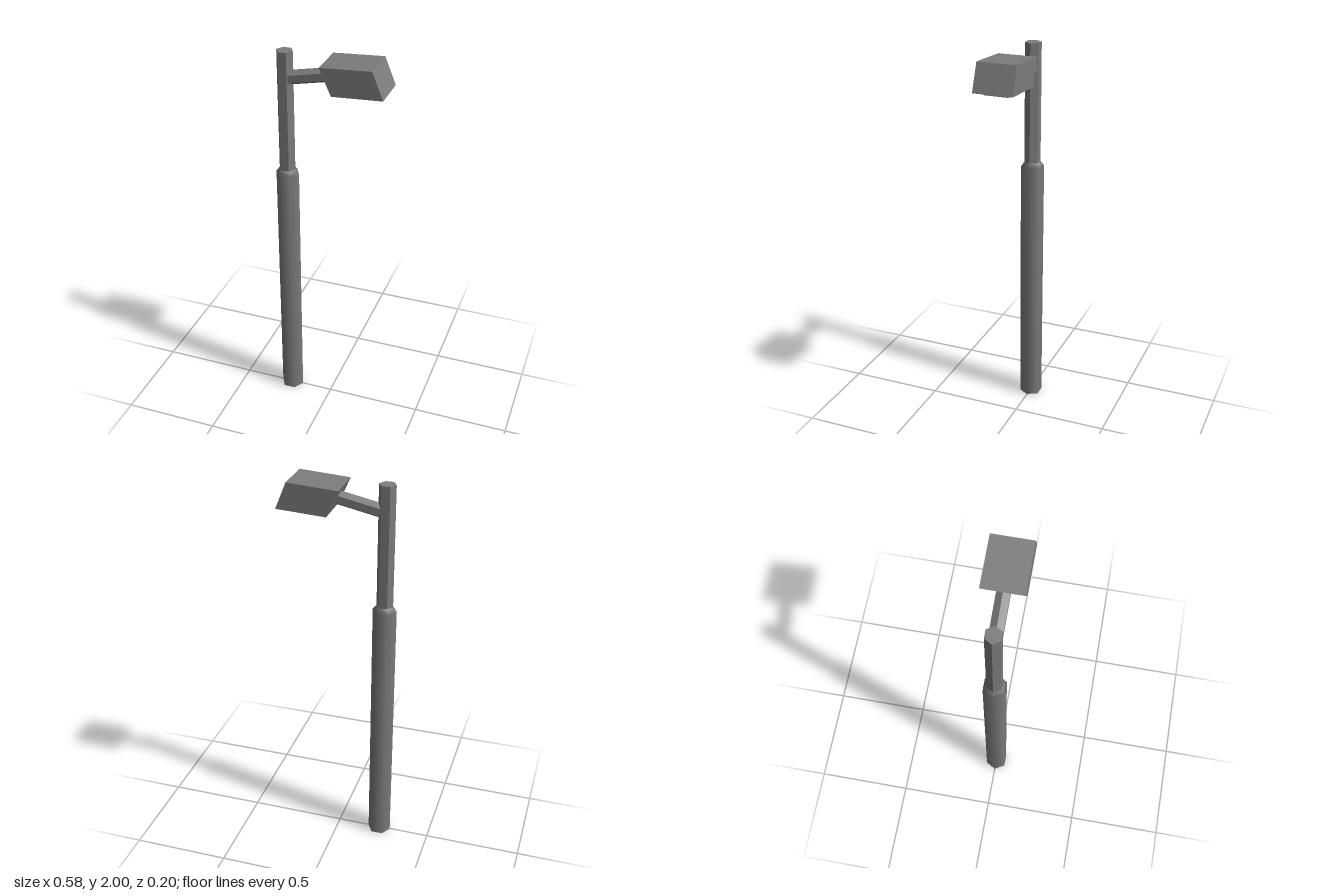
import * as THREE from 'three';

const POLE_X = -0.228;

export function createModel() {
  const model = new THREE.Group();
  model.name = 'streetLamp';

  const metal = new THREE.MeshStandardMaterial({ color: 0x7c7c7c });
  metal.name = 'grey metal';
  const dark = new THREE.MeshStandardMaterial({ color: 0x3a3a3a });
  dark.name = 'dark underside';

  const add = (name, geometry, material, x = 0, y = 0, z = 0) => {
    const mesh = new THREE.Mesh(geometry, material);
    mesh.name = name;
    mesh.position.set(x, y, z);
    model.add(mesh);
    return mesh;
  };

  // Hexagonal bar with crisp faces, a corner pointing along x
  const hexBar = (radius, length) => {
    const g = new THREE.CylinderGeometry(radius, radius, length, 6, 1, false, Math.PI / 2).toNonIndexed();
    g.computeVertexNormals();
    return g;
  };

  // Thick lower pole: smooth shaded six-sided lathe with a bevelled shoulder
  const profile = [[0, 0], [0.061, 0], [0.061, 1.355], [0.042, 1.38]]
    .map(([r, y]) => new THREE.Vector2(r, y));
  add('lowerPole', new THREE.LatheGeometry(profile, 6, Math.PI / 2), metal, POLE_X);

  // Slim upper pole
  add('upperPole', hexBar(0.042, 0.63), metal, POLE_X, 1.685);

  // Rising arm between pole and lamp head
  const start = new THREE.Vector2(-0.215, 1.866);
  const end = new THREE.Vector2(0.02, 1.914);
  const span = end.clone().sub(start);
  const arm = add('arm', hexBar(0.036, span.length()), metal,
    (start.x + end.x) / 2, (start.y + end.y) / 2);
  arm.rotation.z = span.angle() - Math.PI / 2;

  // Slanted lamp head: a box whose side outline is a leaning quadrilateral
  const head = new THREE.BoxGeometry(1, 1, 0.2);
  const pos = head.attributes.position;
  for (let i = 0; i < pos.count; i++) {
    const right = pos.getX(i) > 0;
    if (pos.getY(i) > 0) pos.setXY(i, right ? 0.233 : -0.022, right ? 1.994 : 1.978);
    else pos.setXY(i, right ? 0.288 : 0.038, right ? 1.859 : 1.845);
  }
  head.computeVertexNormals();
  add('lampHead', head, [metal, metal, metal, dark, metal, metal]);

  // Raised lens under the head
  const lens = add('lens', new THREE.BoxGeometry(0.158, 0.022, 0.126), metal, 0.163, 1.849);
  lens.rotation.z = Math.atan2(0.014, 0.25);

  return model;
}
